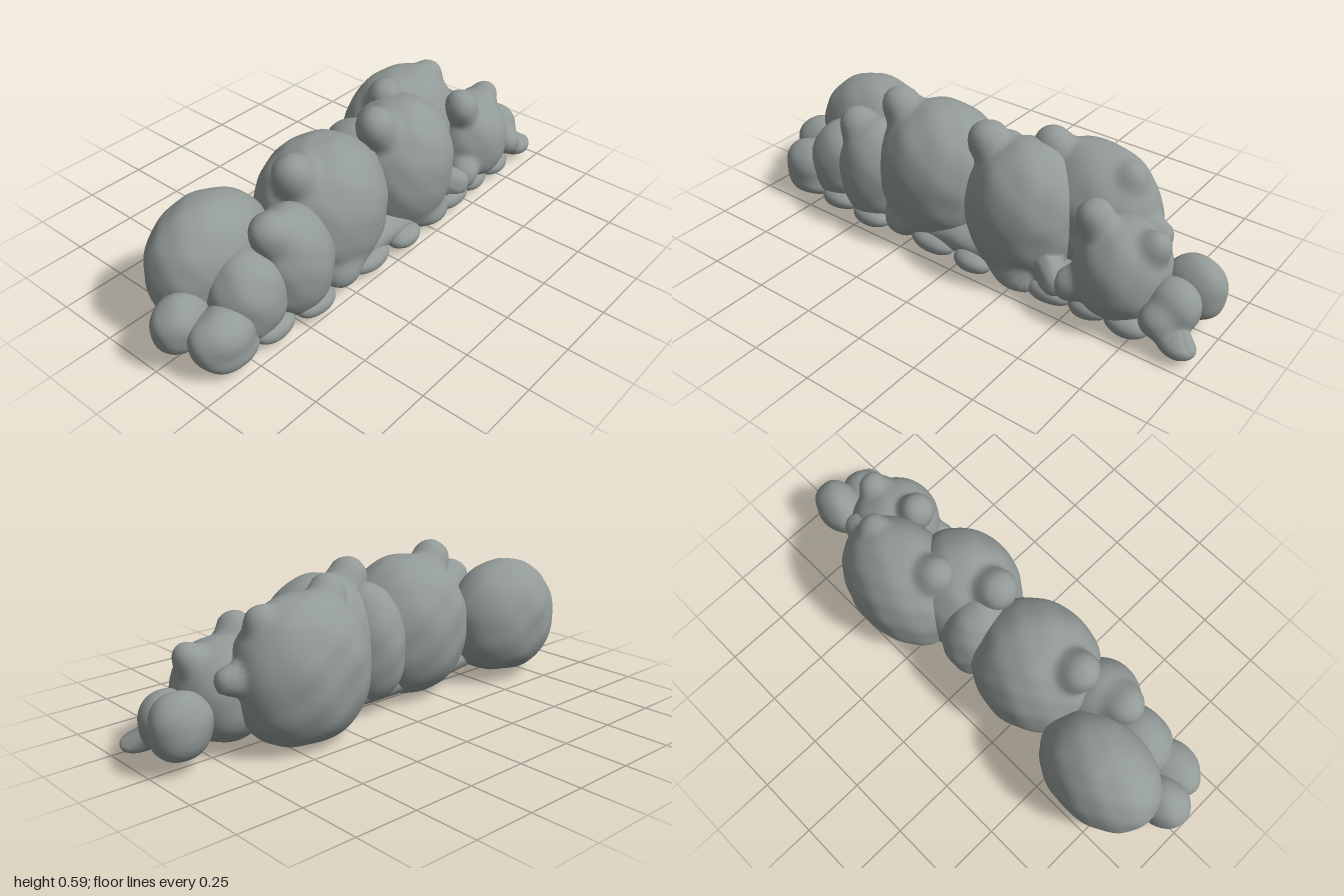
import * as THREE from 'three';
import { mergeVertices } from 'three/addons/utils/BufferGeometryUtils.js';

// Approximate distance to an ellipsoid [x,y,z, rx,ry,rz] whose underside is a little squarer
function ellipsoidDistance(p, [cx, cy, cz, rx, ry, rz]) {
  const x = Math.abs(p.x - cx) / rx, y = (p.y - cy) / ry, z = Math.abs(p.z - cz) / rz;
  const h = Math.hypot(x, z);
  const k = y > 0 ? Math.hypot(h, y) : Math.pow(h ** 2.5 + (-y) ** 2.5, 0.4);
  return (k - 1) * Math.min(rx, ry, rz);
}

// Union that fillets the join between two shapes
function softMin(a, b, k) {
  const h = Math.max(k - Math.abs(a - b), 0) / k;
  return Math.min(a, b) - h * h * k * 0.25;
}

// One body with its knobs melted into it, shrink-wrapped outward from the body centre
function lumpGeometry(body, knobs, detail) {
  const source = new THREE.IcosahedronGeometry(1, detail);
  source.deleteAttribute('uv');
  source.deleteAttribute('normal');
  const geometry = mergeVertices(source, 1e-5);
  const pos = geometry.attributes.position;
  const centre = new THREE.Vector3(body[0], body[1], body[2]);
  const dir = new THREE.Vector3(), p = new THREE.Vector3();
  for (let i = 0; i < pos.count; i++) {
    dir.fromBufferAttribute(pos, i).normalize();
    let t = 0.6;
    for (let step = 0; step < 100; step++) {
      p.copy(centre).addScaledVector(dir, t);
      let d = ellipsoidDistance(p, body);
      for (const knob of knobs) d = softMin(d, ellipsoidDistance(p, knob), 0.035);
      if (d < 0.0004) break;
      t -= d * 0.8;
    }
    // Gentle unevenness of the surface
    const wave = Math.sin(p.x * 31 + p.y * 13) * Math.sin(p.y * 29 + p.z * 17) * Math.sin(p.z * 33 + 1);
    p.addScaledVector(dir, 0.004 * wave);
    pos.setXYZ(i, p.x, Math.max(p.y, 0), p.z);
  }
  geometry.computeVertexNormals();
  return geometry;
}

const ball = (x, y, z, r) => [x, y, z, r, r, r];

// Large masses: name, body ellipsoid, knobs
const LUMPS = [
  ['backLeftMass', [-0.65, 0.26, -0.085, 0.255, 0.23, 0.185], []],
  ['centreLeftMass', [-0.2, 0.285, 0.035, 0.265, 0.275, 0.235],
    [ball(-0.375, 0.515, 0.065, 0.075), [-0.27, 0.1, 0.2, 0.08, 0.06, 0.06]]],
  ['centreRightMass', [0.22, 0.28, 0.06, 0.235, 0.27, 0.215],
    [ball(0.06, 0.51, 0.08, 0.077), [0.27, 0.065, 0.2, 0.09, 0.045, 0.055], [0.44, 0.12, 0.19, 0.06, 0.06, 0.06]]],
  ['middleFiller', [0.05, 0.27, -0.01, 0.15, 0.23, 0.165], []],
  ['backRightMass', [0.415, 0.273, -0.083, 0.275, 0.272, 0.205],
    [ball(0.26, 0.51, -0.04, 0.07), ball(0.58, 0.475, -0.065, 0.05), ball(0.71, 0.29, -0.06, 0.05)]],
  ['frontRightMass', [0.65, 0.21, 0.085, 0.175, 0.185, 0.18],
    [ball(0.55, 0.395, 0.125, 0.068), ball(0.77, 0.345, 0.09, 0.055), ball(0.5, 0.13, 0.19, 0.06)]],
  ['rightTipBack', [0.88, 0.165, -0.02, 0.115, 0.12, 0.09], []],
  ['rightTipFront', [0.86, 0.15, 0.1, 0.1, 0.1, 0.09],
    [[0.925, 0.06, 0.18, 0.072, 0.038, 0.05], [0.84, 0.12, 0.18, 0.06, 0.055, 0.05]]],
  ['leftTip', [-0.89, 0.165, 0.02, 0.11, 0.105, 0.09], []],
  ['leftFrontLump', [-0.82, 0.135, 0.145, 0.13, 0.1, 0.1], [[-0.8, 0.06, 0.18, 0.09, 0.035, 0.06]]],
  ['leftInnerLump', [-0.66, 0.19, 0.1, 0.15, 0.17, 0.14], []],
  ['leftShoulder', [-0.46, 0.23, 0.12, 0.16, 0.215, 0.155], [ball(-0.555, 0.395, 0.125, 0.075)]],
];

export function createModel() {
  const group = new THREE.Group();
  group.name = 'lumpyHedge';
  const grey = new THREE.MeshStandardMaterial({ color: 0x929a98 });
  grey.name = 'mossGrey';
  const add = (name, body, knobs, detail) => {
    const mesh = new THREE.Mesh(lumpGeometry(body, knobs, detail), grey);
    mesh.name = name;
    group.add(mesh);
  };

  for (const [name, body, knobs] of LUMPS) add(name, body, knobs, 18);

  // Flat underside joining the masses
  add('baseSlab', [0, 0.1, 0.06, 0.85, 0.08, 0.16], [], 14);

  // Row of low knobs along the front foot: x, z, width
  const feet = [[-0.62, 0.19, 0.09], [-0.43, 0.21, 0.09], [-0.12, 0.2, 0.1], [0.08, 0.21, 0.08],
    [0.42, 0.19, 0.09], [0.58, 0.18, 0.08], [0.73, 0.18, 0.09]];
  for (const [x, z, w] of feet) add('footKnob', [x, 0.06, z, w, 0.04, 0.055], [], 7);
  return group;
}
